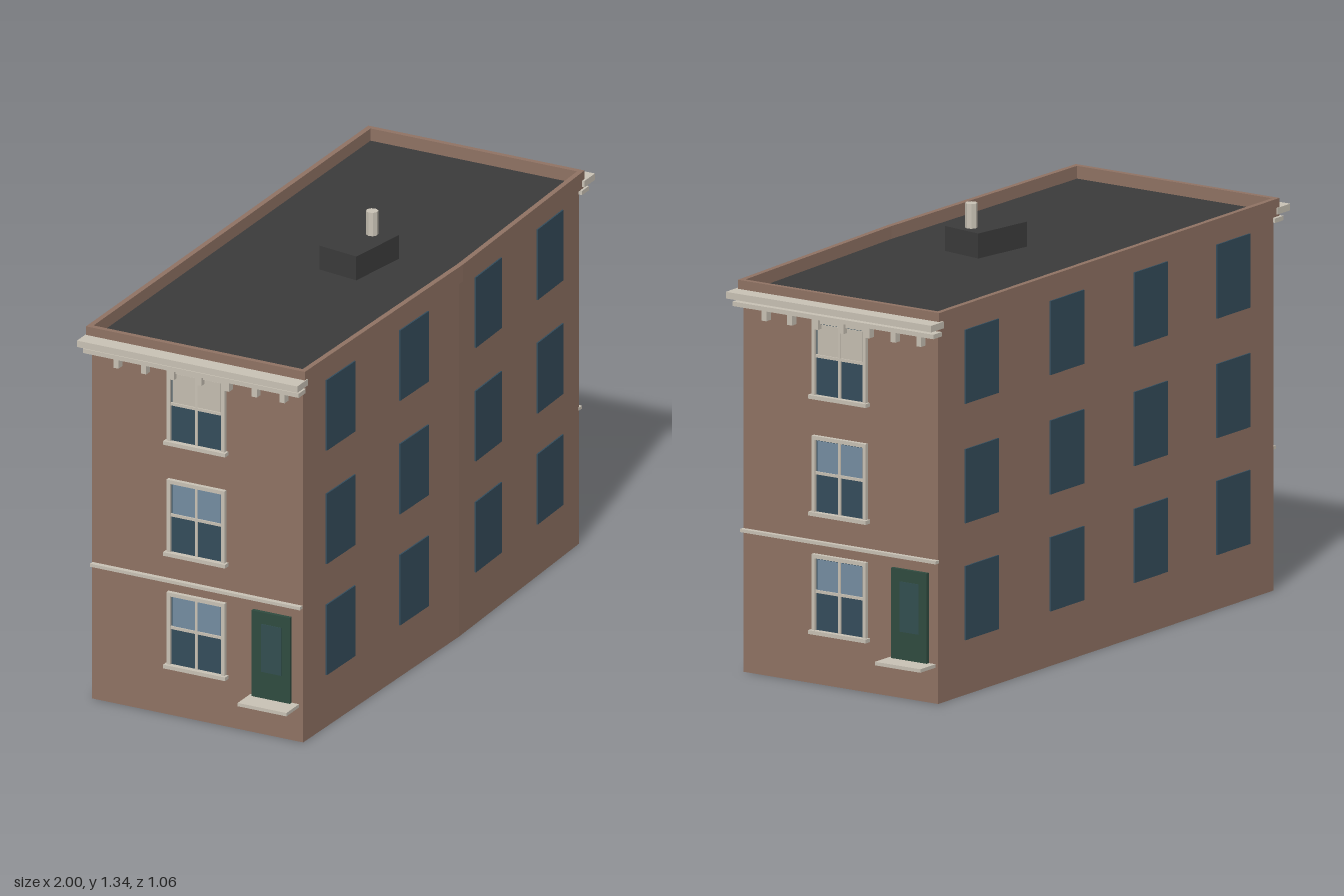
import * as THREE from 'three';

const mat = (name, color) => Object.assign(new THREE.MeshStandardMaterial({ color }), { name });

// Footprint corners [x, z]; the front wall has a slight bend
const A = [-0.935, -0.22], B = [0.815, -0.5], C = [0.93, 0.21], K = [0.13, 0.367], D = [-0.82, 0.5];
const footprint = [A, D, K, C, B];

// Moves every edge of the footprint outward by d
function offset(points, d) {
  const n = points.length;
  const normal = (p, q) => {
    const l = Math.hypot(q[0] - p[0], q[1] - p[1]);
    return [-(q[1] - p[1]) / l, (q[0] - p[0]) / l];
  };
  return points.map((p, i) => {
    const a = normal(points[(i + n - 1) % n], p), b = normal(p, points[(i + 1) % n]);
    const k = d / (1 + a[0] * b[0] + a[1] * b[1]);
    return [p[0] + (a[0] + b[0]) * k, p[1] + (a[1] + b[1]) * k];
  });
}

const toVectors = (points) => points.map(([x, z]) => new THREE.Vector2(x, -z));

// Vertical prism on a plan shape, from y0 to y1
function prism(shape, y0, y1) {
  const g = new THREE.ExtrudeGeometry(shape, { depth: y1 - y0, bevelEnabled: false });
  return g.rotateX(-Math.PI / 2).translate(0, y0, 0);
}

export function createModel() {
  const brick = mat('brick', 0x8f7263);
  const roof = mat('roofing', 0x3a3a3a);
  const trim = mat('stone trim', 0xc8c1b4);
  const glass = mat('dark glass', 0x344c5b);
  const sky = mat('light glass', 0x748ca0);
  const blind = mat('window blind', 0xc4bdb0);
  const green = mat('door green', 0x2f4b3f);
  const doorGlass = mat('door glass', 0x324e50);

  const model = new THREE.Group();
  model.name = 'building';

  const add = (parent, name, geometry, material) => {
    const mesh = new THREE.Mesh(geometry, material);
    mesh.name = name;
    parent.add(mesh);
    return mesh;
  };

  // Box on a wall: x and y ranges, standing from depth z0 to z1
  const slab = (parent, name, material, x0, x1, y0, y1, z1, z0 = -0.002) => {
    const g = new THREE.BoxGeometry(x1 - x0, y1 - y0, z1 - z0);
    g.translate((x0 + x1) / 2, (y0 + y1) / 2, (z0 + z1) / 2);
    return add(parent, name, g, material);
  };

  // Group at the middle of a wall; p is its left end and q its right end seen from outside
  const wallFrame = (name, p, q) => {
    const group = new THREE.Group();
    group.name = name;
    group.position.set((p[0] + q[0]) / 2, 0, (p[1] + q[1]) / 2);
    group.rotation.y = -Math.atan2(q[1] - p[1], q[0] - p[0]);
    group.userData.length = Math.hypot(q[0] - p[0], q[1] - p[1]);
    model.add(group);
    return group;
  };

  // Brick body with dark roof and underside
  add(model, 'body', prism(new THREE.Shape(toVectors(footprint)), 0, 1.185), [roof, brick]);

  // Parapet around the roof
  const ring = new THREE.Shape(toVectors(offset(footprint, 0.013)));
  ring.holes.push(new THREE.Path(toVectors(offset(footprint, -0.004))));
  add(model, 'parapet', prism(ring, 1.17, 1.225), brick);

  // Rooftop box and vent pipe
  const box = new THREE.BoxGeometry(0.212, 0.082, 0.14).translate(0.019, 1.222, 0.07);
  add(model, 'roofBox', box, roof);
  const pipe = new THREE.CylinderGeometry(0.019, 0.019, 0.158, 8).translate(0.083, 1.261, 0.07);
  const pipeMesh = add(model, 'ventPipe', pipe.toNonIndexed(), trim);
  pipeMesh.geometry.computeVertexNormals();

  // Plain windows on the long walls, centres measured along each wall
  const floors = [0.172, 0.537, 0.91];
  const longWalls = [
    ['frontWallWest', D, K, [0.236, 0.705]],
    ['frontWallEast', K, C, [0.19 / 0.8, 0.6025 / 0.8]],
    ['backWall', B, A, [0.128, 0.382, 0.632, 0.878]],
  ];
  for (const [name, p, q, centres] of longWalls) {
    const wall = wallFrame(name, p, q);
    for (const c of centres) {
      const x = (c - 0.5) * wall.userData.length;
      for (const y of floors) slab(wall, 'sideWindow', glass, x - 0.088, x + 0.088, y, y + 0.231, 0.005);
    }
  }

  // Framed sash window; the upper pane has its own colour
  const sashWindow = (wall, y, upper) => {
    const w = new THREE.Group();
    w.name = 'sashWindow';
    w.position.y = y;
    wall.add(w);
    slab(w, 'pane', glass, -0.09, 0.09, 0.005, 0.235, 0.004);
    slab(w, 'upperPane', upper, -0.083, 0.083, 0.13, 0.226, 0.006, 0.003);
    for (const s of [-1, 1]) slab(w, 'frameSide', trim, s * 0.094 - 0.006, s * 0.094 + 0.006, 0, 0.24, 0.013);
    slab(w, 'frameTop', trim, -0.1, 0.1, 0.23, 0.242, 0.014);
    slab(w, 'sill', trim, -0.107, 0.107, -0.007, 0.005, 0.022);
    slab(w, 'meetingRail', trim, -0.088, 0.088, 0.122, 0.131, 0.01);
    slab(w, 'mullion', trim, -0.004, 0.004, 0.005, 0.23, 0.009);
  };

  // The two end walls are alike
  for (const [name, p, q] of [['rightEnd', C, B], ['leftEnd', A, D]]) {
    const wall = wallFrame(name, p, q);
    sashWindow(wall, 0.165, sky);
    sashWindow(wall, 0.535, sky);
    sashWindow(wall, 0.9, blind);

    // Door and step
    slab(wall, 'door', green, 0.193, 0.325, 0.12, 0.405, 0.012);
    slab(wall, 'doorPane', doorGlass, 0.226, 0.296, 0.21, 0.367, 0.014, 0.01);
    slab(wall, 'doorStep', trim, 0.182, 0.35, 0.112, 0.123, 0.08);

    // String course, cornice and brackets
    slab(wall, 'stringCourse', trim, -0.362, 0.362, 0.439, 0.449, 0.016);
    slab(wall, 'corniceTop', trim, -0.38, 0.38, 1.176, 1.197, 0.066);
    slab(wall, 'corniceBand', trim, -0.372, 0.372, 1.149, 1.163, 0.042);
    for (let i = -3; i <= 3; i++) {
      const x = 0.018 + i * 0.0955;
      slab(wall, 'corniceBracket', trim, x - 0.009, x + 0.009, 1.113, 1.149, 0.024);
    }
  }

  return model;
}
